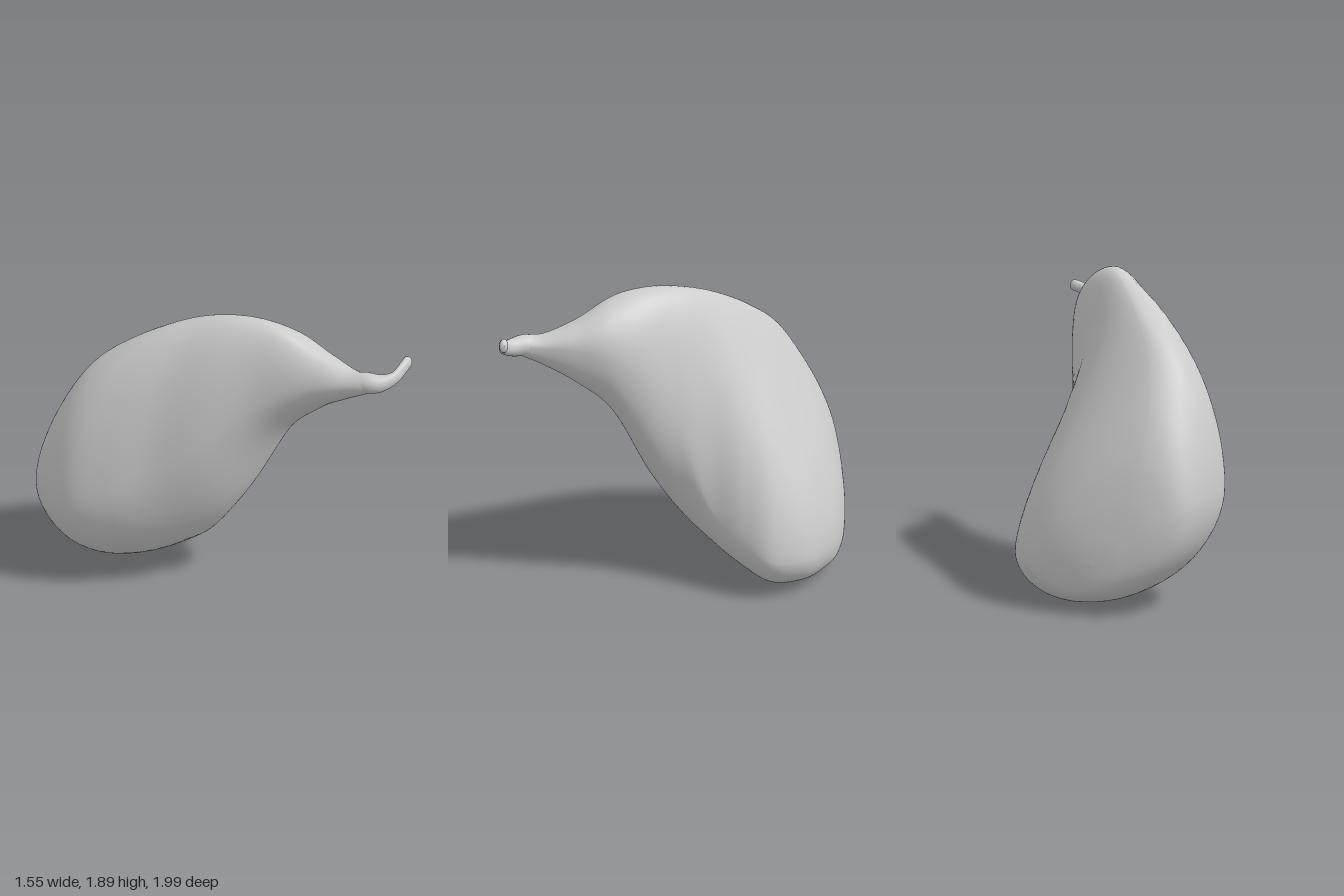
import * as THREE from 'three';

// Body sections along z, each given by its four extreme points:
// z, left x/y, right x/y, bottom x/y, top x/y, sharpness of the upper right arc
const SECTIONS = [
  [-1.0, -0.18, 0.30, -0.18, 0.30, -0.18, 0.30, -0.18, 0.30, 1],
  [-0.99, -0.35, 0.36, -0.05, 0.28, -0.15, 0.17, -0.25, 0.45, 1],
  [-0.95, -0.54, 0.50, 0.13, 0.28, -0.08, 0.10, -0.36, 0.68, 1.1],
  [-0.88, -0.67, 0.58, 0.26, 0.27, -0.03, 0.06, -0.42, 0.92, 1.2],
  [-0.75, -0.74, 0.63, 0.40, 0.27, 0.02, 0.015, -0.42, 1.19, 1.3],
  [-0.55, -0.78, 0.66, 0.465, 0.29, 0.05, 0.01, -0.35, 1.50, 1.35],
  [-0.37, -0.75, 0.70, 0.41, 0.40, 0.05, 0.095, -0.22, 1.665, 1.3],
  [-0.18, -0.60, 0.77, 0.34, 0.58, 0.05, 0.235, -0.08, 1.785, 1.15],
  [0.0, -0.40, 0.90, 0.355, 1.05, 0.05, 0.40, 0.05, 1.86, 1.1],
  [0.2, -0.20, 1.13, 0.44, 1.38, 0.09, 0.70, 0.15, 1.89, 1],
  [0.4, 0.05, 1.40, 0.50, 1.57, 0.27, 1.17, 0.24, 1.86, 1],
  [0.6, 0.22, 1.54, 0.52, 1.62, 0.40, 1.39, 0.36, 1.755, 1],
  [0.78, 0.345, 1.60, 0.53, 1.63, 0.45, 1.51, 0.44, 1.69, 1],
  [0.9, 0.43, 1.63, 0.545, 1.64, 0.49, 1.58, 0.49, 1.695, 1],
  [0.95, 0.505, 1.64, 0.505, 1.64, 0.505, 1.64, 0.505, 1.64, 1],
];

// Smooth blend of neighbouring sections at position t
function sectionAt(t) {
  const last = SECTIONS.length - 1;
  const i = Math.min(Math.floor(t), last - 1);
  const f = t - i;
  const p = [-1, 0, 1, 2].map((k) => SECTIONS[THREE.MathUtils.clamp(i + k, 0, last)]);
  return p[1].map((b, c) => {
    const m0 = (p[2][c] - p[0][c]) / 2;
    const m1 = (p[3][c] - b) / 2;
    const d = p[2][c] - b;
    return b + f * (m0 + f * (3 * d - 2 * m0 - m1 + f * (m0 + m1 - 2 * d)));
  });
}

// Point on a section: four elliptical arcs joining the extreme points
function sectionPoint([z, lx, ly, rx, ry, bx, by, tx, ty, sharp], a) {
  const c = Math.cos(a), s = Math.sin(a);
  const right = c >= 0, up = s >= 0;
  const e = up ? (right ? sharp : 1.12) : 1;
  const u = Math.abs(c) ** e, v = Math.abs(s) ** e;
  const [sx, sy] = right ? [rx, ry] : [lx, ly];
  const [vx, vy] = up ? [tx, ty] : [bx, by];
  return [vx + (sx - vx) * u, sy + (vy - sy) * v, z];
}

function bodyGeometry() {
  const around = 72, steps = 8;
  const rings = (SECTIONS.length - 1) * steps;
  const positions = [], index = [];
  for (let i = 0; i <= rings; i++) {
    const section = sectionAt(i / steps);
    for (let j = 0; j < around; j++) {
      positions.push(...sectionPoint(section, (j / around) * Math.PI * 2));
      if (i === rings) continue;
      const a = i * around + j;
      const b = i * around + ((j + 1) % around);
      index.push(a, b, a + around, b, b + around, a + around);
    }
  }
  const geometry = new THREE.BufferGeometry();
  geometry.setAttribute('position', new THREE.Float32BufferAttribute(positions, 3));
  geometry.setIndex(index);
  geometry.computeVertexNormals();
  return geometry;
}

// Tapered tube with a rounded tip, slightly flattened front to back
function stemGeometry() {
  const path = new THREE.CatmullRomCurve3([
    new THREE.Vector3(0.44, 1.605, 0.76),
    new THREE.Vector3(0.485, 1.635, 0.87),
    new THREE.Vector3(0.54, 1.64, 0.935),
    new THREE.Vector3(0.62, 1.665, 0.968),
    new THREE.Vector3(0.7, 1.705, 0.957),
    new THREE.Vector3(0.765, 1.73, 0.935),
  ]);
  const segments = 48, sides = 24;
  const geometry = new THREE.TubeGeometry(path, segments, 1, sides);
  const pos = geometry.attributes.position;
  const p = new THREE.Vector3();
  for (let i = 0; i <= segments; i++) {
    const t = i / segments;
    const centre = path.getPointAt(t);
    const taper = THREE.MathUtils.lerp(0.062, 0.038, THREE.MathUtils.smoothstep(t, 0.25, 0.7));
    const tip = Math.sqrt(Math.max(0, 1 - Math.max(0, (t - 0.93) / 0.07) ** 2));
    const flat = THREE.MathUtils.lerp(1, 0.6, THREE.MathUtils.smoothstep(t, 0.3, 0.8));
    for (let j = 0; j <= sides; j++) {
      const k = i * (sides + 1) + j;
      p.fromBufferAttribute(pos, k).sub(centre).multiplyScalar(taper * tip);
      p.z *= flat;
      p.add(centre);
      pos.setXYZ(k, p.x, p.y, p.z);
    }
  }
  geometry.computeVertexNormals();
  return geometry;
}

export function createModel() {
  const model = new THREE.Group();
  model.name = 'gourd';
  const material = new THREE.MeshStandardMaterial({ color: 0xcccccc });
  const add = (name, geometry) => {
    const mesh = new THREE.Mesh(geometry, material);
    mesh.name = name;
    model.add(mesh);
  };
  add('body', bodyGeometry());
  add('stem', stemGeometry());
  return model;
}
